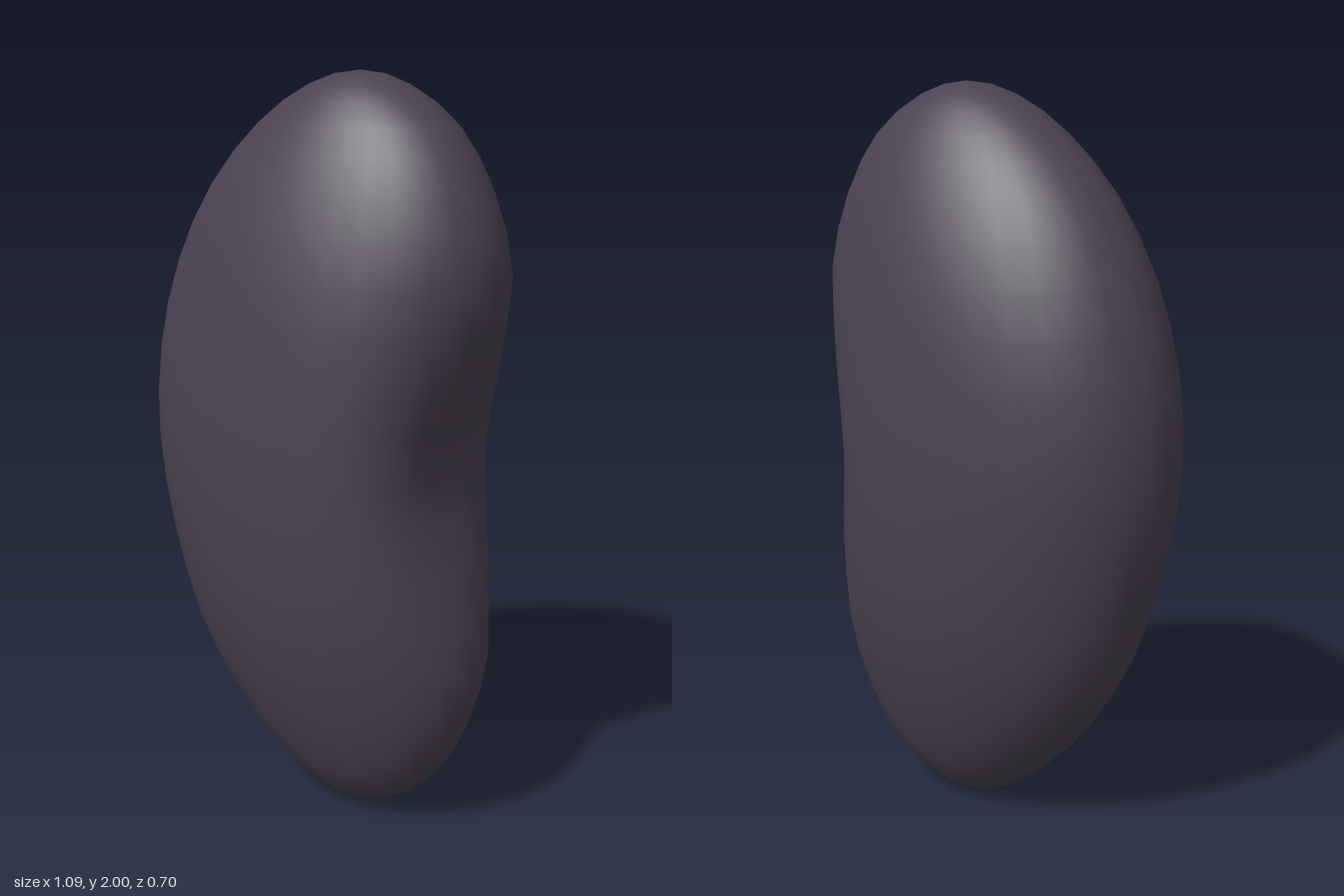
import * as THREE from 'three';
import { mergeVertices } from 'three/addons/utils/BufferGeometryUtils.js';

// Profile from bottom to top, in even angle steps: [left x, right x, half depth, hollow depth]
const PROFILE = [
  [0.115, 0.115, 0, 0], [-0.02, 0.25, 0.08, 0], [-0.16, 0.375, 0.157, 0],
  [-0.305, 0.465, 0.23, 0], [-0.425, 0.525, 0.295, 0.015], [-0.5, 0.57, 0.335, 0.108],
  [-0.548, 0.59, 0.348, 0.19], [-0.535, 0.585, 0.34, 0.103], [-0.465, 0.555, 0.31, 0.009],
  [-0.35, 0.497, 0.253, 0], [-0.197, 0.4, 0.18, 0], [-0.035, 0.255, 0.097, 0], [0.115, 0.115, 0, 0],
];

function beanGeometry() {
  const body = new THREE.CatmullRomCurve3(
    PROFILE.map(([l, r, d]) => new THREE.Vector3(l, r, d)), false, 'catmullrom');
  const hollow = new THREE.CatmullRomCurve3(
    PROFILE.map((p) => new THREE.Vector3(p[3], 0, 0)), false, 'catmullrom');

  // Reshape each ring of a sphere into an ellipse, then press in the +x side
  const sphere = new THREE.SphereGeometry(1, 32, 24);
  const pos = sphere.attributes.position;
  for (let i = 0; i < pos.count; i++) {
    const y = THREE.MathUtils.clamp(pos.getY(i), -1, 1);
    const t = Math.acos(-y) / Math.PI;
    const a = Math.atan2(pos.getZ(i), pos.getX(i));
    const { x: left, y: right, z: depth } = body.getPoint(t);
    const dent = hollow.getPoint(t).x * Math.max(0, Math.cos(a)) ** 3;
    const x = (left + right) / 2 + Math.cos(a) * (right - left) / 2 - dent;
    pos.setXYZ(i, x, y + 1, Math.sin(a) * depth);
  }

  // Weld the seam so the shading is smooth all round
  sphere.deleteAttribute('uv');
  sphere.deleteAttribute('normal');
  const geometry = mergeVertices(sphere, 1e-4);
  geometry.computeVertexNormals();
  return geometry;
}

export function createModel() {
  const group = new THREE.Group();
  group.name = 'bean';
  const bean = new THREE.Mesh(beanGeometry(), new THREE.MeshStandardMaterial({ color: 0x4a4252 }));
  bean.name = 'beanBody';
  group.add(bean);
  return group;
}
